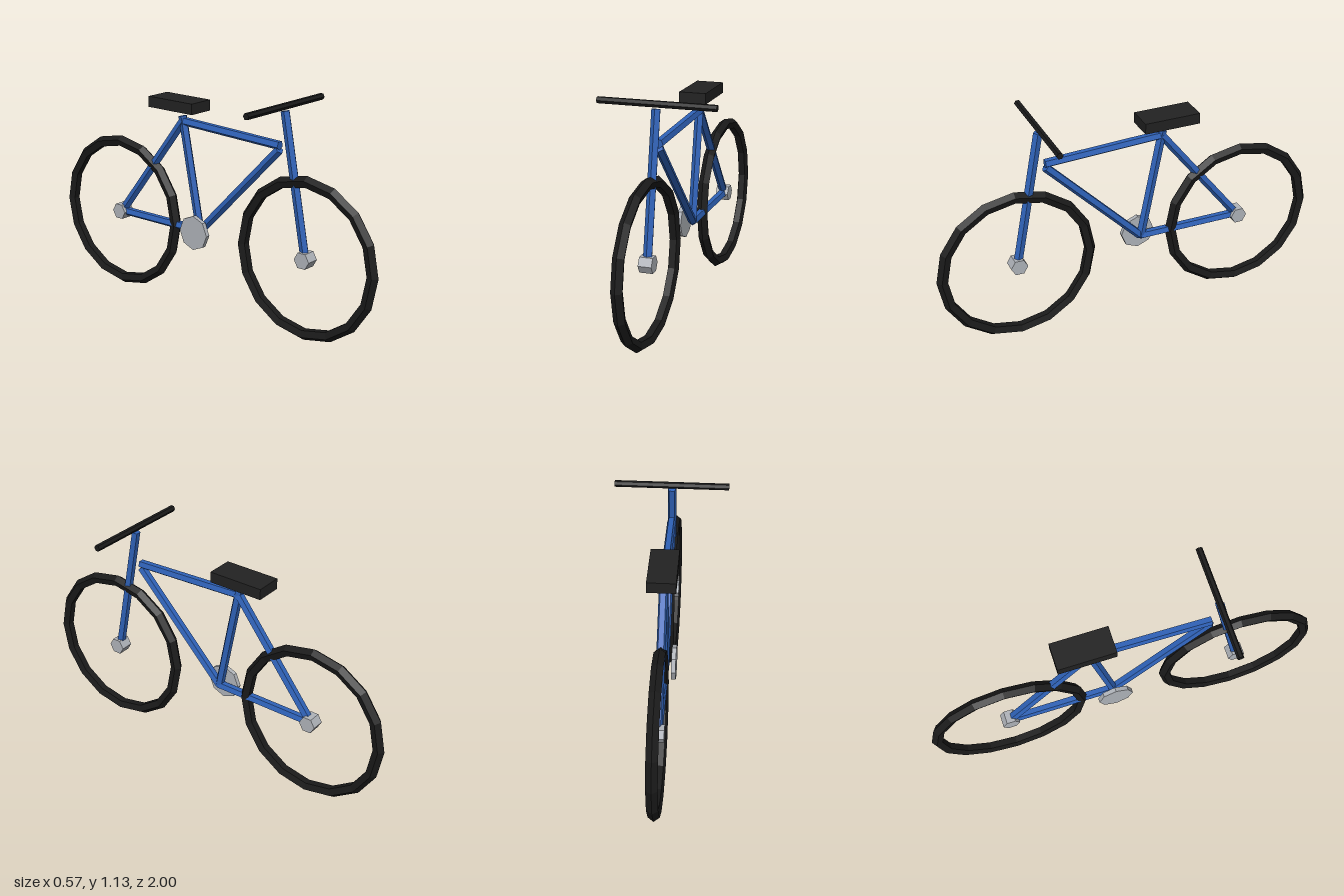
import * as THREE from 'three';

const flat = (name, color) => {
  const m = new THREE.MeshStandardMaterial({ color, flatShading: true });
  m.name = name;
  return m;
};

export function createModel() {
  const blue = flat('frame blue', 0x2f62b8);
  const rubber = flat('tyre black', 0x1a1a1a);
  const leather = flat('saddle black', 0x222222);
  const metal = flat('metal grey', 0xb0b4ba);

  const bike = new THREE.Group();
  bike.name = 'bicycle';

  const add = (name, geometry, material, x, y, z) => {
    const mesh = new THREE.Mesh(geometry, material);
    mesh.name = name;
    mesh.position.set(x, y, z);
    bike.add(mesh);
    return mesh;
  };

  // Cylinder lying along x
  const crossBar = (name, radius, length, sides, material, x, y, z) =>
    add(name, new THREE.CylinderGeometry(radius, radius, length, sides).rotateZ(Math.PI / 2), material, x, y, z);

  // Frame tube in the middle plane between two [y, z] points
  const tube = (name, [y0, z0], [y1, z1]) => {
    const a = new THREE.Vector3(0, y0, z0);
    const b = new THREE.Vector3(0, y1, z1);
    const dir = b.clone().sub(a);
    const mid = a.clone().lerp(b, 0.5);
    const mesh = add(name, new THREE.CylinderGeometry(0.0225, 0.0225, dir.length(), 5), blue, 0, mid.y, mid.z);
    mesh.quaternion.setFromUnitVectors(new THREE.Vector3(0, 1, 0), dir.normalize());
  };

  // Wheels and hubs
  const axleY = 0.405, axleZ = 0.595;
  for (const [label, side] of [['front', 1], ['rear', -1]]) {
    const tyre = new THREE.TorusGeometry(0.376, 0.029, 5, 16).rotateY(Math.PI / 2);
    add(label + 'Tyre', tyre, rubber, 0, axleY, side * axleZ);
    crossBar(label + 'Hub', 0.043, 0.065, 6, metal, 0, axleY, side * axleZ);
  }

  // Frame
  const bottom = [0.407, -0.055];
  const seatJoint = [0.952, -0.165];
  const rearAxle = [axleY, -axleZ];
  tube('fork', [axleY, axleZ], [1.095, 0.463]);
  tube('topTube', seatJoint, [0.927, 0.435]);
  tube('downTube', bottom, [0.907, 0.432]);
  tube('seatTube', bottom, [0.978, -0.168]);
  tube('seatStay', rearAxle, seatJoint);
  tube('chainStay', rearAxle, bottom);

  // Chainring, on the right of the frame
  crossBar('chainring', 0.088, 0.022, 8, metal, -0.045, 0.407, -0.055);

  // Handlebar and saddle
  crossBar('handlebar', 0.0165, 0.57, 6, rubber, 0, 1.117, 0.461);
  add('saddle', new THREE.BoxGeometry(0.136, 0.054, 0.285), leather, 0, 1.037, -0.192);

  return bike;
}
